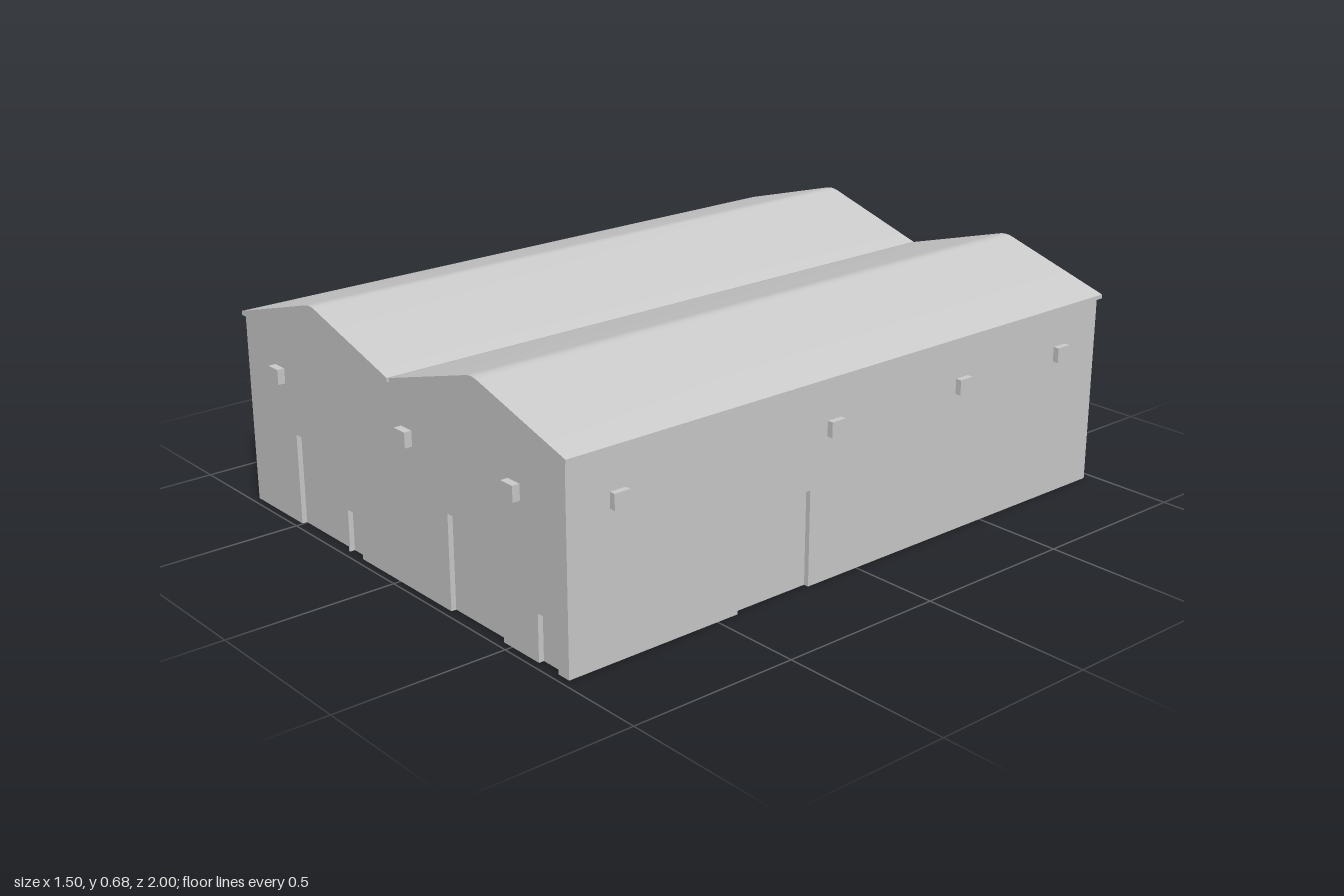
import * as THREE from 'three';
import { toCreasedNormals } from 'three/addons/utils/BufferGeometryUtils.js';

const material = new THREE.MeshStandardMaterial({ color: 0xcccccc });
const WALL_H = 0.565, WALL_T = 0.03, LEAF_T = 0.015;
const X0 = -0.745, X1 = 0.73, Z0 = -0.97, Z1 = 0.978;

function add(parent, name, geometry, x = 0, y = 0, z = 0) {
  const mesh = new THREE.Mesh(geometry, material);
  mesh.name = name;
  mesh.position.set(x, y, z);
  parent.add(mesh);
  return mesh;
}

// A box given by its extents
function block(parent, name, [x0, x1], [y0, y1], [z0, z1]) {
  return add(parent, name, new THREE.BoxGeometry(x1 - x0, y1 - y0, z1 - z0),
    (x0 + x1) / 2, (y0 + y1) / 2, (z0 + z1) / 2);
}

// Wall with its outer face on local z = 0; doors are [from, to, height], lights are positions along it
function wall(name, from, to, doors, lights, lightDepth) {
  const group = new THREE.Group();
  group.name = name;

  // Outline notched at the bottom for each doorway
  const shape = new THREE.Shape();
  shape.moveTo(from, 0);
  for (const [a, b, h] of [...doors].sort((p, q) => p[0] - q[0])) {
    shape.lineTo(a, 0);
    shape.lineTo(a, h);
    shape.lineTo(b, h);
    shape.lineTo(b, 0);
  }
  shape.lineTo(to, 0);
  shape.lineTo(to, WALL_H);
  shape.lineTo(from, WALL_H);
  add(group, name + 'Panel',
    new THREE.ExtrudeGeometry(shape, { depth: WALL_T, bevelEnabled: false }), 0, 0, -WALL_T);

  // Door leaves set back in their openings
  for (const [a, b, h] of doors) block(group, 'door', [a, b], [0, h], [-WALL_T, -LEAF_T]);

  // Small wall lights
  for (const u of lights)
    block(group, 'wallLight', [u - 0.024, u + 0.024], [0.411, 0.455], [-0.005, lightDepth]);
  return group;
}

// Gabled roof with a softly rounded ridge, running along z
function roof(parent, name, x0, x1, ridge, z0, z1) {
  const eave = 0.574, top = 0.676, half = 0.024;
  const s = new THREE.Shape();
  s.moveTo(x0, 0.562);
  s.lineTo(x1, 0.562);
  s.lineTo(x1, eave);
  s.lineTo(ridge + half, top - 0.001);
  s.quadraticCurveTo(ridge, top + 0.006, ridge - half, top - 0.001);
  s.lineTo(x0, eave);
  const geometry = new THREE.ExtrudeGeometry(s, { depth: z1 - z0, bevelEnabled: false, curveSegments: 6 });
  add(parent, name, toCreasedNormals(geometry, 0.5), 0, 0, z0);
}

export function createModel() {
  const model = new THREE.Group();
  model.name = 'warehouse';

  // Solid core behind the door walls
  block(model, 'hallCore', [X0, X1 - WALL_T], [0, WALL_H], [Z0 + WALL_T, Z1 - WALL_T]);

  // Front wall
  const front = wall('frontWall', X0, X1,
    [[-0.503, -0.256, 0.27], [-0.25, -0.185, 0.125], [0.236, 0.466, 0.274], [0.61, 0.688, 0.134]],
    [-0.57, 0.063, 0.526], 0.022);
  front.position.z = Z1;

  // Back wall, measured along -x
  const back = wall('backWall', -X1, -X0,
    [[-0.466, -0.236, 0.274], [0.185, 0.25, 0.125], [0.256, 0.503, 0.27]],
    [0.57, 0.06, -0.526], 0.03);
  back.rotation.y = Math.PI;
  back.position.z = Z0;

  // Left side wall, measured along -z
  const side = wall('leftWall', -Z1 + WALL_T, -Z0 - WALL_T,
    [[-0.432, -0.18, 0.275]], [-0.822, -0.098, 0.395, 0.81], 0.018);
  side.rotation.y = Math.PI / 2;
  side.position.x = X1;
  model.add(front, back, side);

  // Twin roofs meeting at a narrow valley
  roof(model, 'rightRoof', -0.752, -0.007, -0.375, -0.984, 0.985);
  roof(model, 'leftRoof', -0.003, 0.737, 0.367, -0.984, 0.981);

  return model;
}
